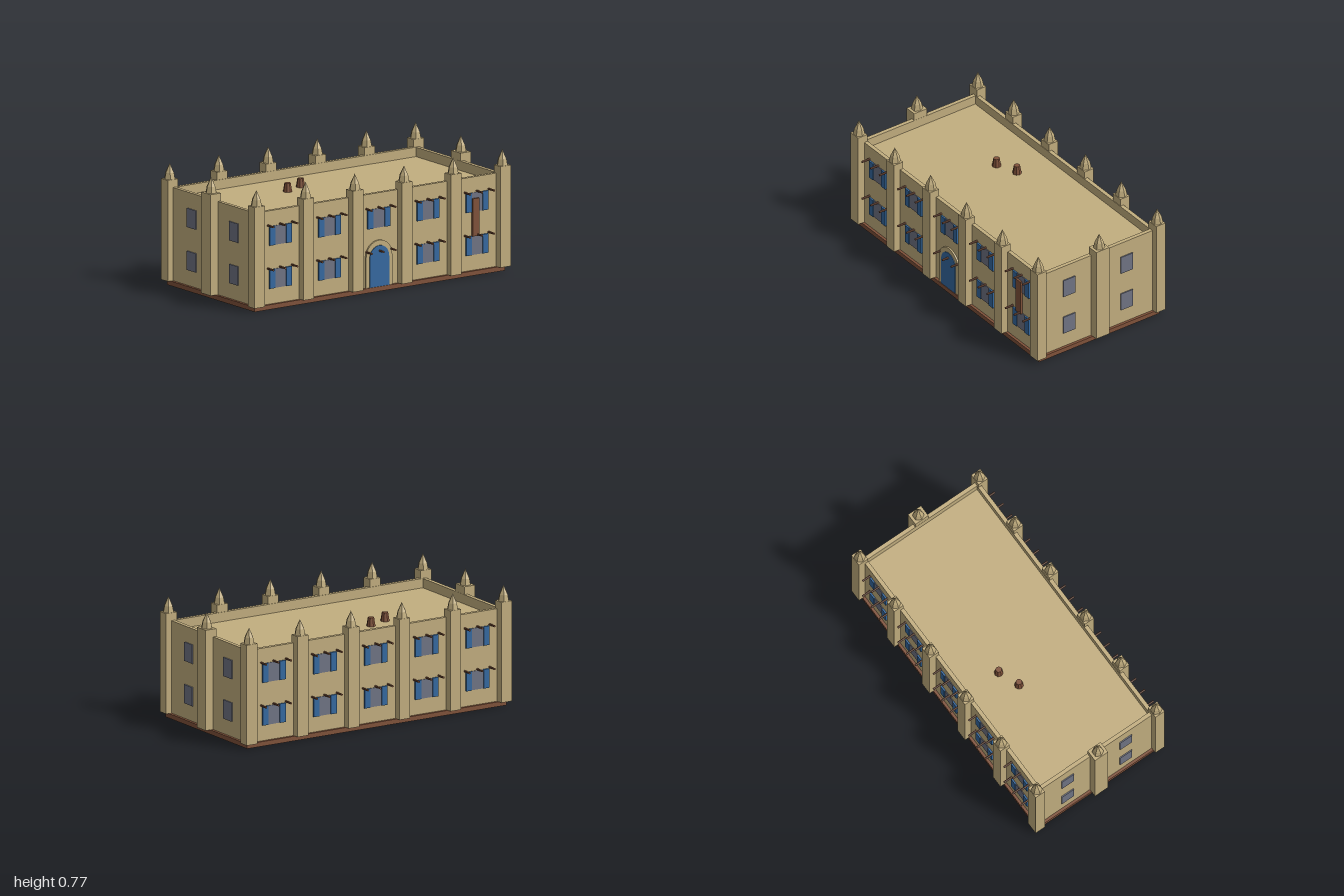
import * as THREE from 'three';

export function createModel() {
  const group = new THREE.Group();
  const mat = (name, color) => Object.assign(new THREE.MeshStandardMaterial({ color, flatShading: true }), { name });
  const stone = mat('sandstone', 0xc2ae7f);
  const wood = mat('brown wood', 0x80523a);
  const blue = mat('blue paint', 0x3569a0);
  const glass = mat('grey glass', 0x707484);

  const add = (name, geometry, material, x = 0, y = 0, z = 0, parent = group) => {
    const mesh = new THREE.Mesh(geometry, material);
    mesh.name = name;
    mesh.position.set(x, y, z);
    parent.add(mesh);
    return mesh;
  };
  const box = (name, w, h, d, material, x, y, z, parent) =>
    add(name, new THREE.BoxGeometry(w, h, d), material, x, y, z, parent);

  const HX = 0.945, HZ = 0.445, BASE = 0.03, ROOF = 0.565, TOP = 0.625;

  // Plinth, main block and parapet
  box('plinth', 1.925, BASE, 0.925, wood, 0, BASE / 2, 0);
  box('mainBlock', HX * 2, ROOF - BASE, HZ * 2, stone, 0, (ROOF + BASE) / 2, 0);
  const parapetH = TOP - ROOF, parapetY = (TOP + ROOF) / 2, t = 0.026;
  for (const s of [-1, 1]) {
    box('parapetLong', HX * 2, parapetH, t, stone, 0, parapetY, s * (HZ - t / 2));
    box('parapetShort', t, parapetH, (HZ - t) * 2, stone, s * (HX - t / 2), parapetY, 0);
  }

  // Buttresses crowned with six-sided spires
  const spireGeo = new THREE.LatheGeometry(
    [[0, 0], [0.037, 0], [0.029, 0.04], [0, 0.1]].map(([r, y]) => new THREE.Vector2(r, y)), 6);
  spireGeo.rotateY(Math.PI / 6);
  const buttress = (x, z, w, d) => {
    const g = new THREE.Group();
    g.name = 'buttress';
    g.position.set(x, 0, z);
    box('buttressShaft', w, 0.645, d, stone, 0, 0.3525, 0, g);
    add('spire', spireGeo, stone, 0, 0.675, 0, g);
    group.add(g);
  };
  for (const s of [-1, 1]) {
    for (const x of [-0.945, -0.567, -0.189, 0.189, 0.567, 0.945]) buttress(x, s * 0.457, 0.08, 0.07);
    buttress(s * 0.96, 0, 0.08, 0.1);
  }

  // Projecting roof beams above each opening
  const beamGeo = new THREE.CylinderGeometry(0.0068, 0.0068, 0.07, 8).rotateX(Math.PI / 2);
  const beams = (y, parent) => {
    for (const x of [-0.092, 0, 0.092]) add('beam', beamGeo, wood, x, y, 0.47, parent);
  };

  // Long facades: window with two shutters in each bay
  const facade = (isFront) => {
    const g = new THREE.Group();
    g.name = isFront ? 'frontFacade' : 'backFacade';
    if (!isFront) g.rotation.y = Math.PI;
    for (const x of [-0.756, -0.378, 0, 0.378, 0.756]) {
      for (const y of [0.19, 0.465]) {
        const bay = new THREE.Group();
        bay.name = 'bay';
        bay.position.x = x;
        g.add(bay);
        beams(y + 0.068, bay);
        if (isFront && x === 0 && y < 0.3) continue; // door bay
        box('windowPane', 0.088, 0.122, 0.006, glass, 0, y, HZ + 0.002, bay);
        for (const s of [-1, 1]) box('shutter', 0.042, 0.122, 0.012, blue, s * 0.064, y, HZ + 0.005, bay);
      }
    }
    group.add(g);
  };
  facade(true);
  facade(false);

  // Side windows
  for (const sx of [-1, 1]) for (const z of [-0.222, 0.222]) for (const y of [0.19, 0.463])
    box('sideWindow', 0.009, 0.121, 0.092, glass, sx * (HX + 0.003), y, z);

  // Arched door and surround
  const arch = (half, spring, Type) => {
    const a = new Type();
    a.moveTo(-half, BASE);
    a.lineTo(half, BASE);
    a.lineTo(half, spring);
    a.absarc(0, spring, half, 0, Math.PI, false);
    a.lineTo(-half, BASE);
    return a;
  };
  const extrude = (shape, depth) =>
    new THREE.ExtrudeGeometry(shape, { depth, bevelEnabled: false, curveSegments: 16 });
  const surround = arch(0.1, 0.225, THREE.Shape);
  surround.holes.push(arch(0.074, 0.218, THREE.Path));
  add('doorSurround', extrude(surround, 0.012), stone, 0, 0, HZ - 0.001);
  add('door', extrude(arch(0.074, 0.218, THREE.Shape), 0.016), blue, 0, 0, HZ - 0.001);

  // Plank hanging between two windows
  box('plank', 0.05, 0.24, 0.016, wood, 0.74, 0.37, 0.455);

  // Roof vents
  const ventGeo = new THREE.CylinderGeometry(0.02, 0.029, 0.056, 8);
  for (const [x, z] of [[-0.285, -0.12], [-0.145, -0.175]]) add('roofVent', ventGeo, wood, x, ROOF + 0.028, z);

  return group;
}
